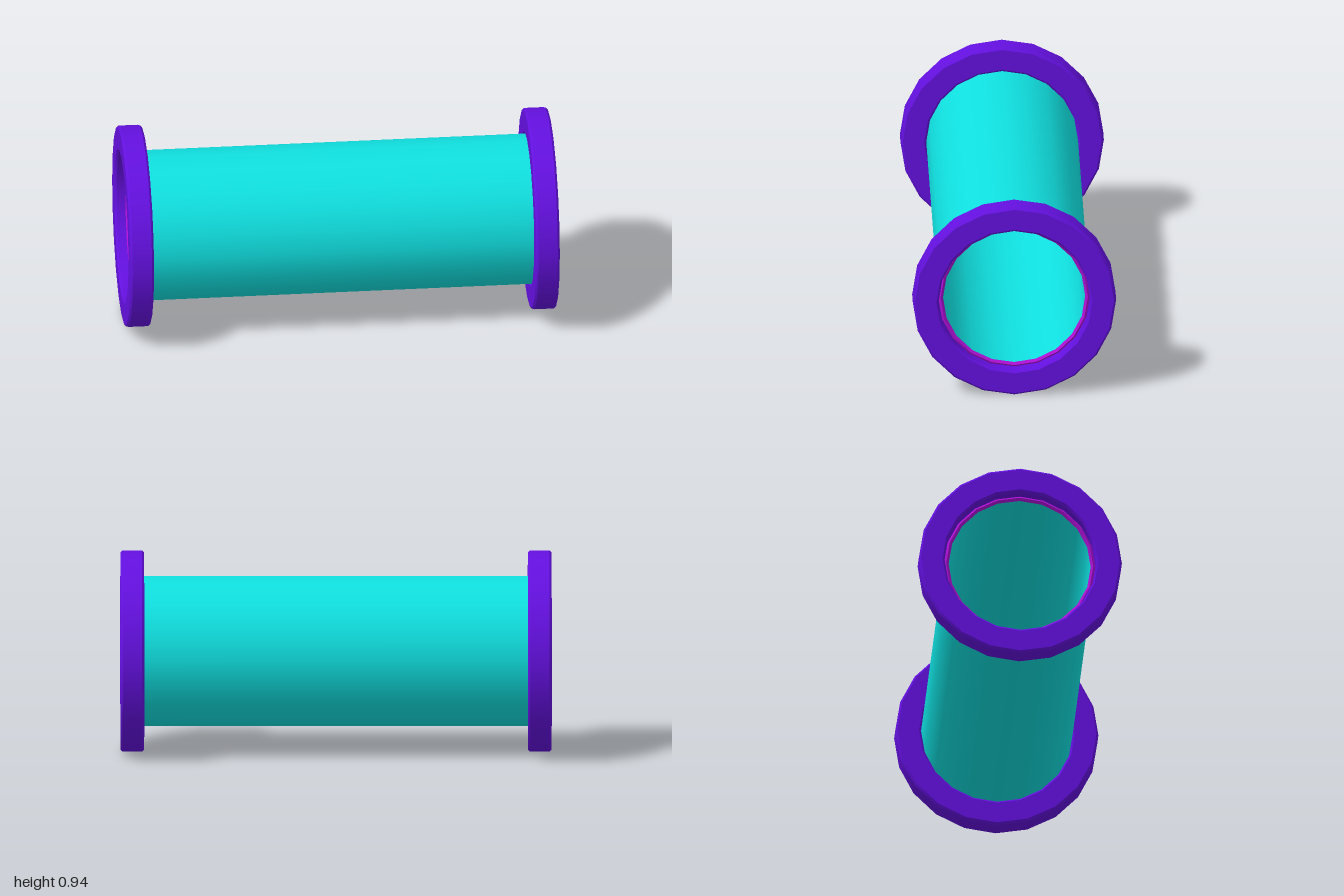
import * as THREE from 'three';
import { mergeGeometries } from 'three/addons/utils/BufferGeometryUtils.js';

const SIDES = 20;
const RADIUS = 0.472;

// Revolves [radius, x] points around the x axis: smooth around, sharp between bands.
function revolve(points) {
  const bands = [];
  for (let i = 0; i < points.length - 1; i++) {
    const pair = [points[i], points[i + 1]].map(([r, x]) => new THREE.Vector2(r, x));
    bands.push(new THREE.LatheGeometry(pair, SIDES));
  }
  return mergeGeometries(bands).rotateZ(-Math.PI / 2);
}

function part(name, points, color) {
  const mesh = new THREE.Mesh(revolve(points), new THREE.MeshStandardMaterial({ color }));
  mesh.name = name;
  return mesh;
}

// Closed ring section with all four edges bevelled.
function bevelledRing(inner, outer, x0, x1, b) {
  return [
    [outer - b, x0], [outer, x0 + b], [outer, x1 - b], [outer - b, x1],
    [inner + b, x1], [inner, x1 - b], [inner, x0 + b], [inner + b, x0], [outer - b, x0],
  ];
}

export function createModel() {
  const group = new THREE.Group();
  group.name = 'flangedPipe';

  const outer = 0.352, inner = 0.33, mid = 0.342;
  const end = 0.95, wall = 0.94;

  // Pipe walls
  group.add(part('pipeOuterWall', [[outer, -wall], [outer, wall]], 0x10e0e0));
  group.add(part('pipeInnerWall', [[inner, wall], [inner, -wall]], 0x10e0e0));

  // Chamfered pipe rims, recessed inside the flanges
  group.add(part('leftRim', [[outer, wall], [mid, end], [inner, wall]], 0xb010d8));
  group.add(part('rightRim', [[inner, -wall], [mid, -end], [outer, -wall]], 0xb010d8));

  // End flanges
  group.add(part('leftFlange', bevelledRing(outer, RADIUS, 0.89, 1, 0.01), 0x6410e0));
  group.add(part('rightFlange', bevelledRing(outer, RADIUS, -1, -0.89, 0.01), 0x6410e0));

  group.position.y = RADIUS;
  return group;
}
